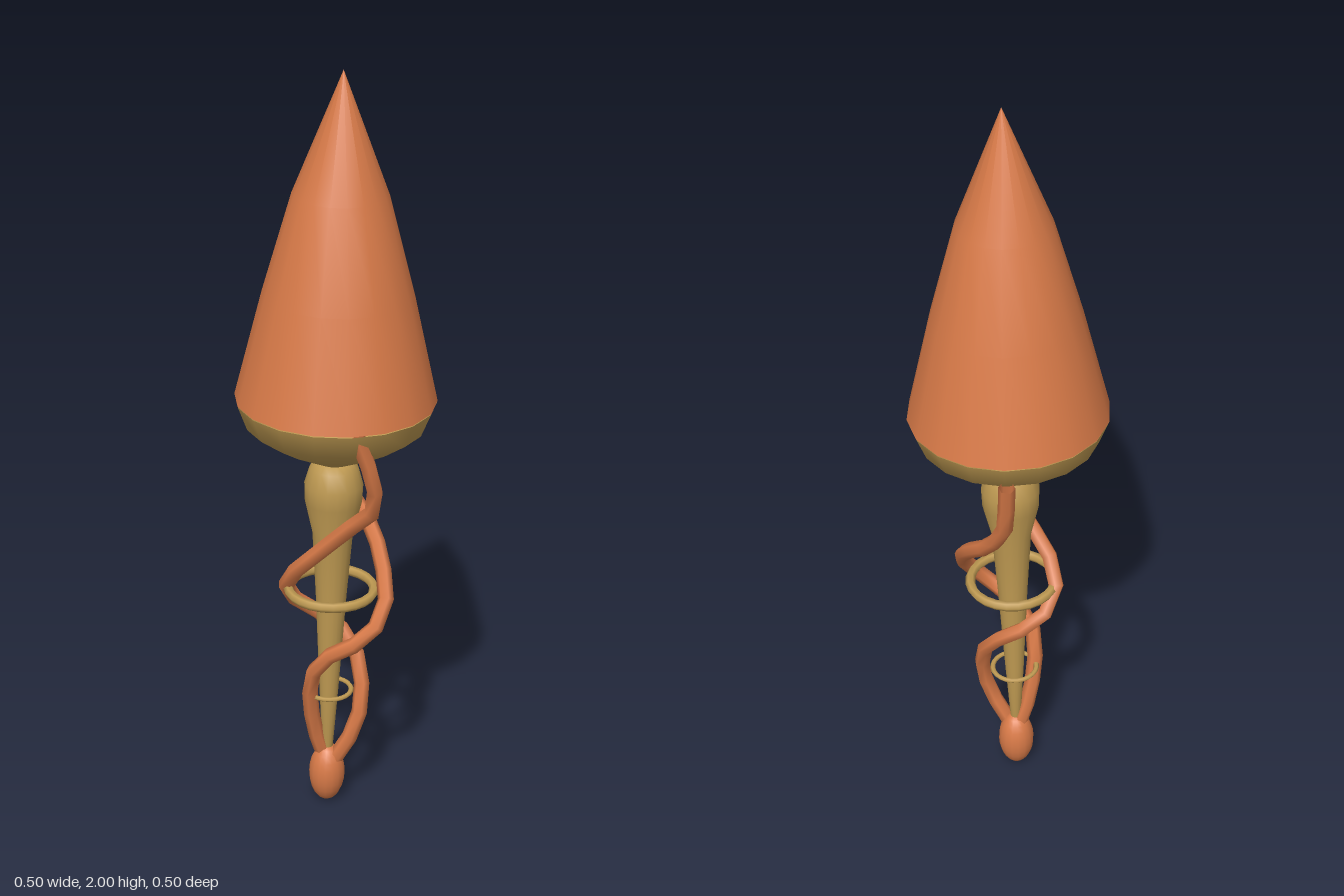
import * as THREE from 'three';

export function createModel() {
  const model = new THREE.Group();
  model.name = 'spindle';

  const orange = new THREE.MeshStandardMaterial({ color: 0xd87a48, side: THREE.DoubleSide });
  orange.name = 'orange';
  const gold = new THREE.MeshStandardMaterial({ color: 0xbf9a52, side: THREE.DoubleSide });
  gold.name = 'gold';

  // Everything on the shaft leans slightly toward +x
  const shaft = new THREE.Group();
  shaft.name = 'leaningShaft';
  shaft.position.x = -0.025;
  shaft.rotation.z = -0.025;
  model.add(shaft);

  const add = (parent, name, geometry, material) => {
    const mesh = new THREE.Mesh(geometry, material);
    mesh.name = name;
    parent.add(mesh);
    return mesh;
  };
  const turned = (name, profile, material, sides = 18) => {
    const points = profile.map(([r, y]) => new THREE.Vector2(r, y));
    const mesh = add(shaft, name, new THREE.LatheGeometry(points, sides), material);
    mesh.rotation.y = THREE.MathUtils.degToRad(15);
    return mesh;
  };

  // Pointed cap and the bowl that closes it underneath
  turned('cap', [[0.253, 1.175], [0.187, 1.45], [0.118, 1.7], [0, 2]], orange);
  turned('bowl', [[0, 1], [0.04, 1], [0.165, 1.065], [0.228, 1.11], [0.252, 1.172]], gold);

  // Tapering handle with a swollen top
  turned('handle', [
    [0, 0.13], [0.012, 0.13], [0.025, 0.34], [0.04, 0.62], [0.052, 0.8],
    [0.073, 0.89], [0.075, 0.94], [0.062, 0.985], [0.045, 1.005], [0, 1.01],
  ], gold);

  // Two rings around the handle
  for (const [name, y, radius, tube, flat] of [
    ['largeRing', 0.64, 0.111, 0.013, 1],
    ['smallRing', 0.34, 0.059, 0.007, 0.8],
  ]) {
    const ring = add(shaft, name, new THREE.TorusGeometry(radius, tube, 6, 24), gold);
    ring.rotation.x = Math.PI / 2;
    ring.scale.z = flat;
    ring.position.y = y;
  }

  // Egg-shaped foot
  const foot = add(shaft, 'foot', new THREE.SphereGeometry(0.048, 16, 12), orange);
  foot.scale.y = 1.77;
  foot.position.y = 0.085;

  // Two vines winding from the bowl down to the foot
  const vine = (name, path) => {
    const curve = new THREE.CatmullRomCurve3(path.map((p) => new THREE.Vector3(...p)));
    add(model, name, new THREE.TubeGeometry(curve, 16, 0.021, 6), orange);
  };
  vine('frontVine', [
    [0.15, 1.15, 0.165], [0.173, 1.03, 0.13], [0.162, 0.94, 0.1], [0.08, 0.86, 0.085],
    [0, 0.78, 0.08], [-0.08, 0.7, 0.07], [-0.125, 0.62, 0.03], [-0.1, 0.555, -0.03],
    [-0.03, 0.5, -0.07], [0.035, 0.42, -0.065], [0.06, 0.32, -0.04], [0.05, 0.23, -0.02],
    [0, 0.13, 0],
  ]);
  vine('backVine', [
    [-0.14, 1.12, -0.195], [-0.13, 1.04, -0.185], [-0.12, 0.98, -0.175], [-0.06, 0.88, -0.155],
    [0.04, 0.79, -0.12], [0.11, 0.7, -0.06], [0.145, 0.62, 0], [0.12, 0.55, 0.05],
    [0.02, 0.48, 0.075], [-0.03, 0.41, 0.07], [-0.045, 0.32, 0.05], [-0.045, 0.22, 0.025],
    [-0.03, 0.13, 0],
  ]);

  return model;
}
